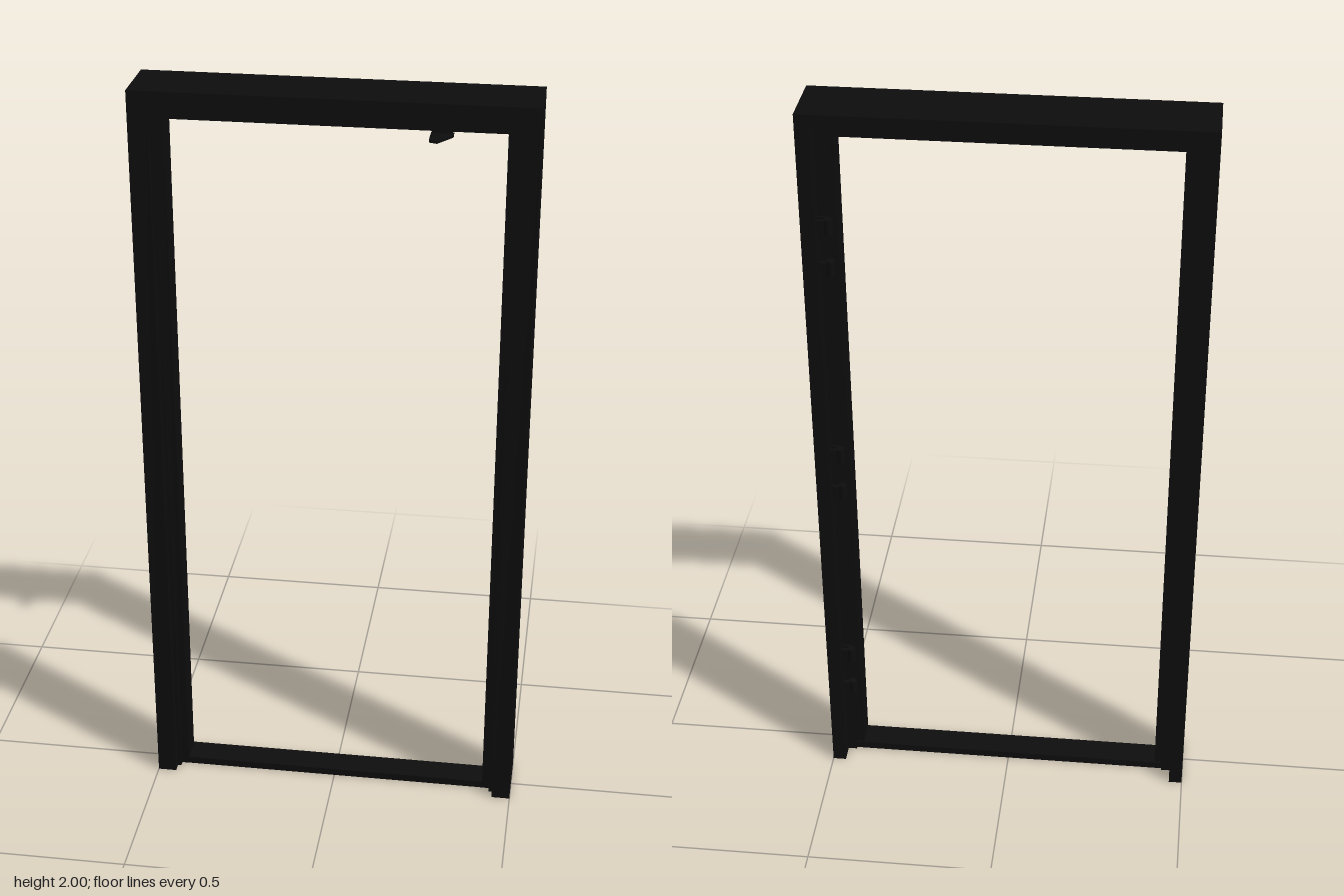
import * as THREE from 'three';

const black = new THREE.MeshStandardMaterial({ color: 0x0d0d0d, side: THREE.DoubleSide });

function add(parent, name, geometry, x = 0, y = 0, z = 0) {
  const mesh = new THREE.Mesh(geometry, black);
  mesh.name = name;
  mesh.position.set(x, y, z);
  parent.add(mesh);
  return mesh;
}

// Rebated frame section: [width inward from the outer edge, z]
const section = [
  [0, -0.1], [0, 0.07], [0.05, 0.07], [0.05, 0.045], [0.06, 0.045], [0.06, 0.03],
  [0.08, 0.03], [0.08, -0.04], [0.06, -0.04], [0.06, -0.052], [0.036, -0.052], [0.036, -0.1],
];

// Sweep the section up one jamb, across the head and down the other, with mitred corners
function frameGeometry() {
  const stations = [
    (w, z) => [w - 0.5, 0, z],
    (w, z) => [w - 0.5, 2 - w, z],
    (w, z) => [0.5 - w, 2 - w, z],
    (w, z) => [0.5 - w, 0, z],
  ];
  const rings = stations.map((place) => section.map(([w, z]) => place(w, z)));
  const positions = [];
  for (let i = 0; i < 3; i++) {
    for (let j = 0; j < section.length; j++) {
      const k = (j + 1) % section.length;
      const a = rings[i][j], b = rings[i][k], c = rings[i + 1][k], d = rings[i + 1][j];
      positions.push(...a, ...b, ...c, ...a, ...c, ...d);
    }
  }
  // Feet of the two jambs
  const contour = section.map(([w, z]) => new THREE.Vector2(w, z));
  for (const [a, b, c] of THREE.ShapeUtils.triangulateShape(contour, [])) {
    const turn = new THREE.Vector2().subVectors(contour[b], contour[a])
      .cross(new THREE.Vector2().subVectors(contour[c], contour[a]));
    const [p, q] = turn > 0 ? [b, c] : [c, b];
    positions.push(...rings[0][a], ...rings[0][p], ...rings[0][q]);
    positions.push(...rings[3][a], ...rings[3][q], ...rings[3][p]);
  }
  const geometry = new THREE.BufferGeometry();
  geometry.setAttribute('position', new THREE.Float32BufferAttribute(positions, 3));
  geometry.computeVertexNormals();
  return geometry;
}

export function createModel() {
  const model = new THREE.Group();
  model.name = 'doorFrame';

  add(model, 'jambsAndHead', frameGeometry());

  // Low threshold, set back from both faces of the jambs
  add(model, 'threshold', new THREE.BoxGeometry(0.88, 0.02, 0.075), 0, 0.01, -0.008);

  // Three hinges in the rear rebate of the left jamb, each with two knuckles
  for (const y of [0.31, 0.975, 1.64]) {
    const hinge = new THREE.Group();
    hinge.name = 'hinge';
    hinge.position.set(0.45, y, -0.072);
    add(hinge, 'hingeLeaf', new THREE.BoxGeometry(0.03, 0.15, 0.006), 0.005, 0, 0.015);
    for (const s of [-1, 1]) {
      add(hinge, 'hingeKnuckle', new THREE.CylinderGeometry(0.011, 0.011, 0.04, 16), -0.014, s * 0.057, 0);
      add(hinge, 'hingeBracket', new THREE.BoxGeometry(0.03, 0.03, 0.012), 0, s * 0.057, 0);
    }
    model.add(hinge);
  }

  // Pointed catch under the head, reaching out in front
  const outline = [[0.235, 0.03], [0.235, 0.09], [0.255, 0.097], [0.29, 0.046], [0.29, 0.03]];
  const shape = new THREE.Shape(outline.map(([x, z]) => new THREE.Vector2(x, z)));
  const plate = new THREE.ExtrudeGeometry(shape, { depth: 0.007, bevelEnabled: false });
  plate.rotateX(Math.PI / 2);
  add(model, 'catchPlate', plate, 0, 1.918, 0);
  add(model, 'catchPost', new THREE.BoxGeometry(0.05, 0.035, 0.008), 0.2625, 1.9325, 0.035);

  return model;
}
